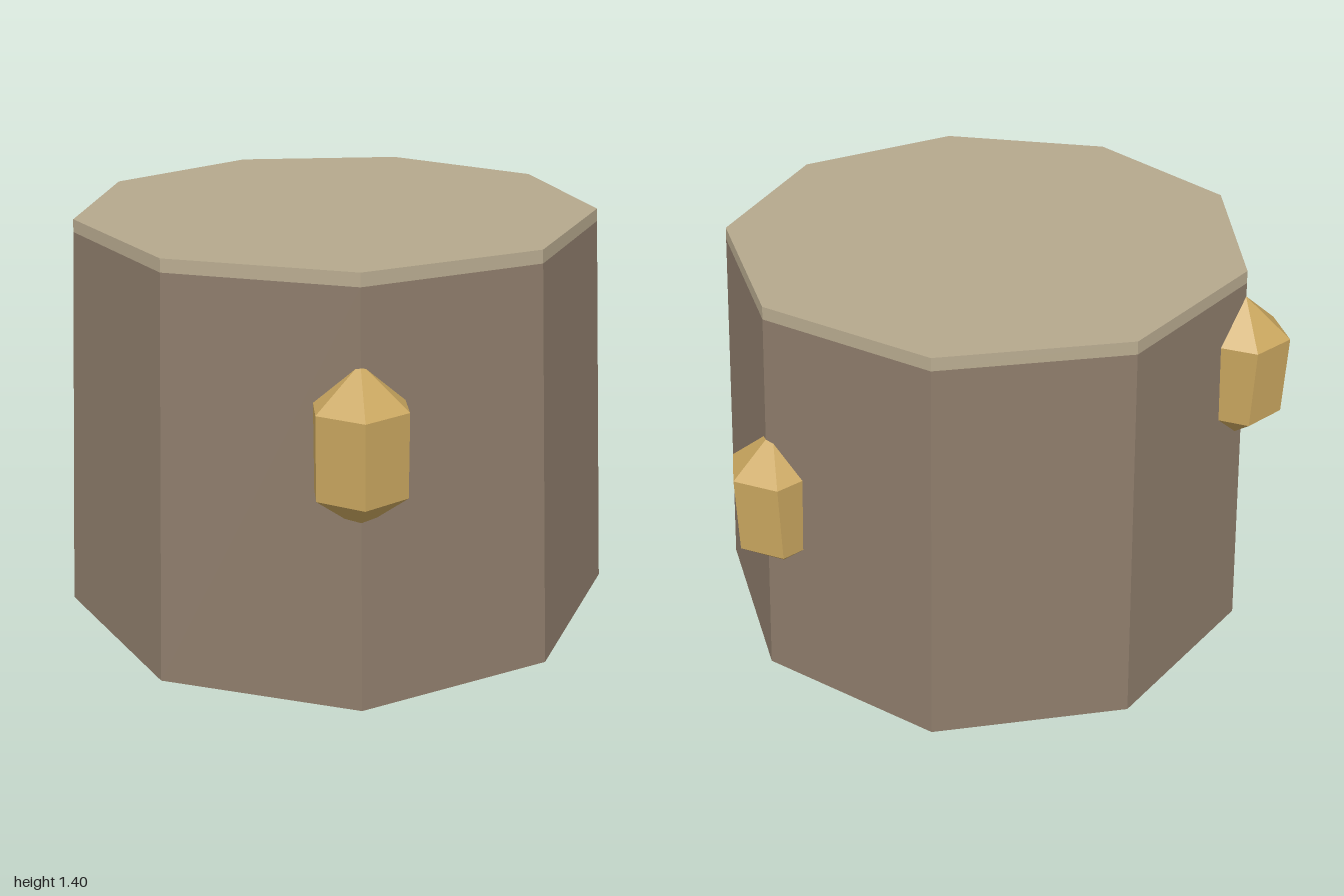
import * as THREE from 'three';

const SIDES = 9;
const CENTRE_X = -0.065;
const HEIGHT = 1.405;
const BAND_Y = 1.362;
const R_BOTTOM = 0.995;
const R_TOP = 0.9;

export function createModel() {
  const bark = new THREE.MeshStandardMaterial({ name: 'bark', color: 0x8b7a69, flatShading: true });
  const cutWood = new THREE.MeshStandardMaterial({ name: 'cutWood', color: 0xb5a88d, flatShading: true });
  const amber = new THREE.MeshStandardMaterial({ name: 'amber', color: 0xc8a55e, flatShading: true });

  const model = new THREE.Group();
  model.name = 'stump';

  const add = (name, geometry, material, x, y, z) => {
    const mesh = new THREE.Mesh(geometry, material);
    mesh.name = name;
    mesh.position.set(x, y, z);
    model.add(mesh);
  };

  // Tapered nine-sided section of the trunk, with a corner on +x
  const radiusAt = (y) => R_BOTTOM + (R_TOP - R_BOTTOM) * (y / HEIGHT);
  const section = (y0, y1) =>
    new THREE.CylinderGeometry(radiusAt(y1), radiusAt(y0), y1 - y0, SIDES, 1, false, Math.PI / 2);

  add('trunk', section(0, BAND_Y), bark, CENTRE_X, BAND_Y / 2, 0);
  add('cutTop', section(BAND_Y, HEIGHT), cutWood, CENTRE_X, (BAND_Y + HEIGHT) / 2, 0);

  // Six-sided knob: straight prism with a point at each end
  const profile = [[0, -0.267], [0.16, -0.137], [0.16, 0.137], [0, 0.267]]
    .map(([r, y]) => new THREE.Vector2(r, y));
  const knob = new THREE.LatheGeometry(profile, 6, Math.PI / 2);

  // Three knobs on the trunk corners, climbing round the stump
  [0, 120, 240].forEach((degrees, i) => {
    const a = THREE.MathUtils.degToRad(degrees);
    add(`knob${i + 1}`, knob, amber,
      CENTRE_X + 0.905 * Math.cos(a), 0.683 + 0.182 * i, 0.905 * Math.sin(a));
  });

  return model;
}
